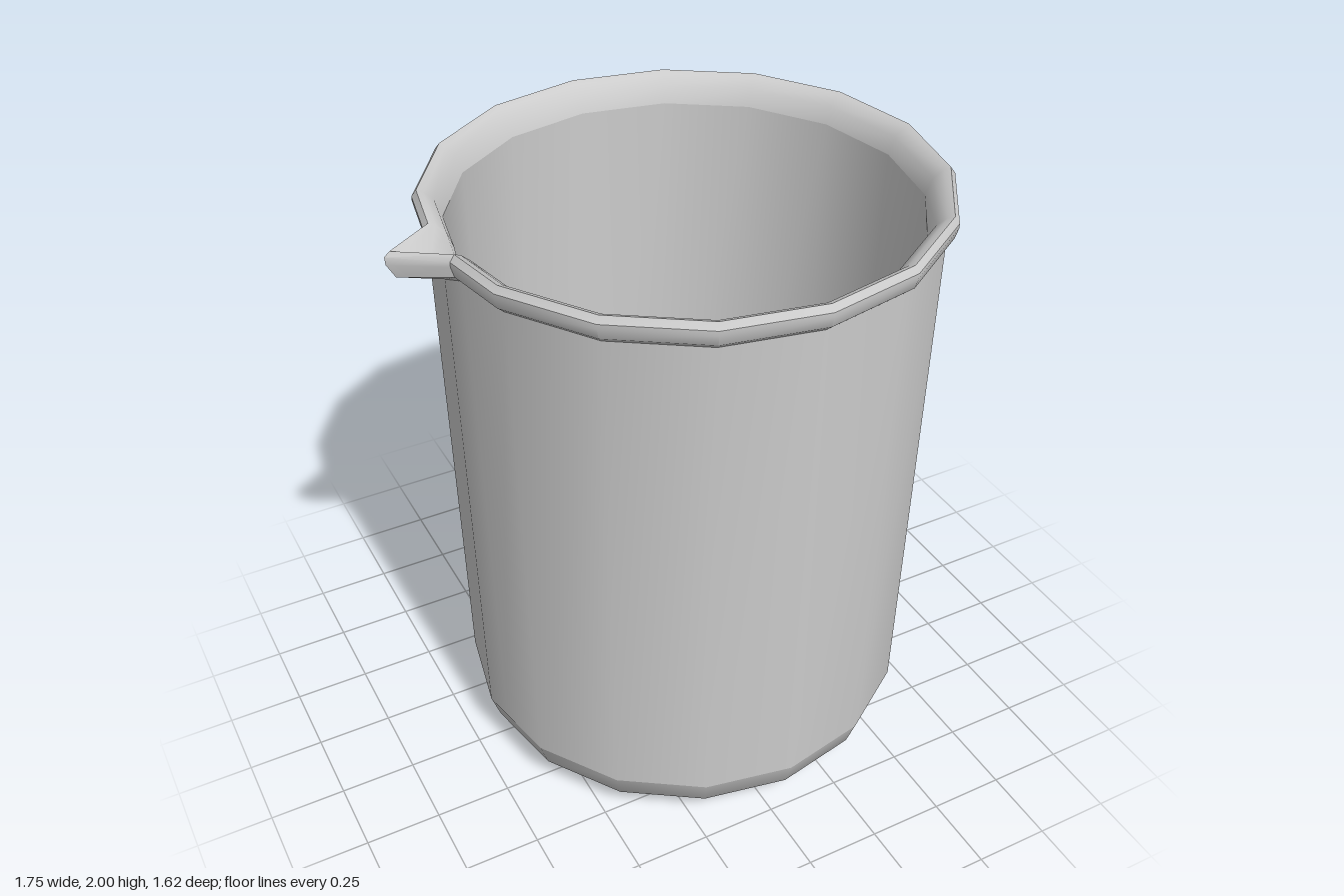
import * as THREE from 'three';
import { toCreasedNormals } from 'three/addons/utils/BufferGeometryUtils.js';

const SIDES = 16;
const CENTER_X = 0.065;

// Directions around the axis; the corner at -x is split in three to make the pouring lip
function makeColumns() {
  const columns = [];
  for (let i = 0; i < SIDES; i++) {
    const a = (i / SIDES) * Math.PI * 2;
    if (i === SIDES / 2) {
      columns.push({ x: -0.975, z: 0.125 }, { x: -1, z: 0, tip: true }, { x: -0.975, z: -0.125 });
    } else {
      columns.push({ x: Math.cos(a), z: Math.sin(a) });
    }
  }
  return columns;
}

// Skin a profile of [radius, y, tipRadius, tipY] rings around the columns
function makeStrip(name, rings, material) {
  const columns = makeColumns();
  const n = columns.length;
  const positions = [];
  const index = [];
  for (const [r, y, tipR = r, tipY = y] of rings) {
    for (const c of columns) {
      const radius = c.tip ? tipR : r;
      positions.push(CENTER_X + c.x * radius, c.tip ? tipY : y, c.z * radius);
    }
  }
  for (let i = 0; i < rings.length - 1; i++) {
    for (let j = 0; j < n; j++) {
      const k = (j + 1) % n;
      const a = i * n + j, b = a + n, c = i * n + k, d = c + n;
      if (rings[i][0] > 0) index.push(a, b, c);
      if (rings[i + 1][0] > 0) index.push(c, b, d);
    }
  }
  const geometry = new THREE.BufferGeometry();
  geometry.setAttribute('position', new THREE.Float32BufferAttribute(positions, 3));
  geometry.setIndex(index);
  const mesh = new THREE.Mesh(toCreasedNormals(geometry, 0.6), material);
  mesh.name = name;
  return mesh;
}

export function createModel() {
  const group = new THREE.Group();
  group.name = 'beaker';
  const material = new THREE.MeshStandardMaterial({ color: 0xcccccc });

  const parts = {
    // Underside and rounded foot
    underside: [[0, 0], [0.57, 0]],
    roundedFoot: [[0.57, 0], [0.665, 0.03], [0.727, 0.09], [0.757, 0.18]],
    // Slightly flared outside wall
    outerWall: [[0.757, 0.18], [0.778, 1.91, 0.775, 1.87]],
    // Rolled rim, drawn out to a point at the lip
    rimAndLip: [
      [0.778, 1.91, 0.775, 1.87],
      [0.8, 1.93, 0.915, 1.915],
      [0.81, 1.965, 0.94, 1.96],
      [0.81, 1.98, 0.942, 1.985],
      [0.795, 2, 0.925, 2],
      [0.775, 1.992, 0.885, 1.985],
      [0.745, 1.965, 0.81, 1.945],
      [0.725, 1.91, 0.725, 1.87],
    ],
    // Inside wall and floor
    innerWall: [[0.725, 1.91, 0.725, 1.87], [0.703, 0.17]],
    innerFloor: [[0.703, 0.17], [0.66, 0.08], [0, 0.08]],
  };
  for (const [name, rings] of Object.entries(parts)) {
    group.add(makeStrip(name, rings, material));
  }
  return group;
}
